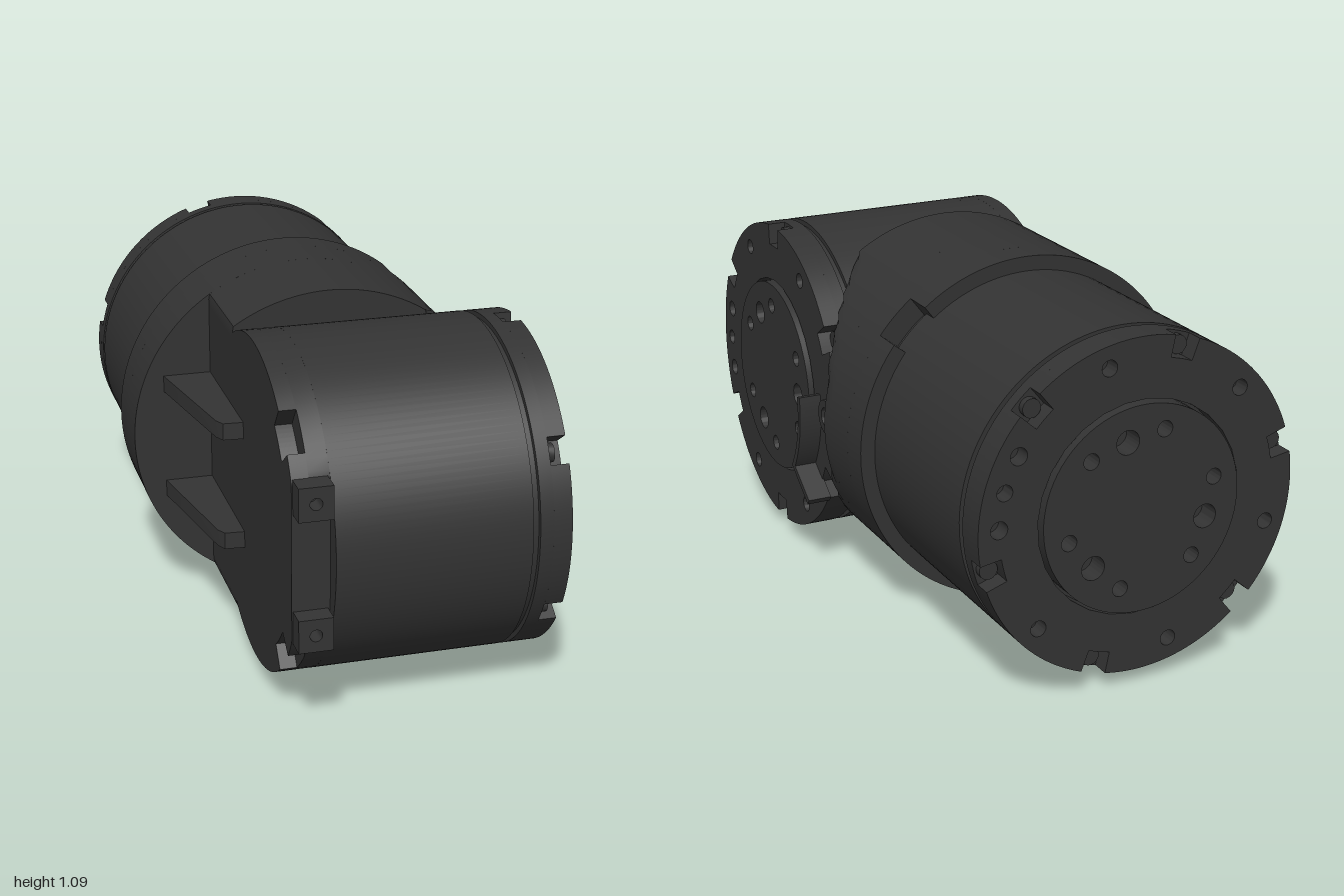
import * as THREE from 'three';
import { toCreasedNormals } from 'three/addons/utils/BufferGeometryUtils.js';

const material = new THREE.MeshStandardMaterial({ color: 0x333333 });
const rad = THREE.MathUtils.degToRad;
const CY = 0.55; // height of both drum axes

function part(name, geometry, parent) {
  const mesh = new THREE.Mesh(toCreasedNormals(geometry, 0.6), material);
  mesh.name = name;
  parent.add(mesh);
  return mesh;
}

// Extrude a shape from z0 to z1
function slab(shape, z0, z1, curveSegments = 12) {
  return new THREE.ExtrudeGeometry(shape, { depth: z1 - z0, bevelEnabled: false, curveSegments })
    .translate(0, 0, z0);
}

// Disc outline with rim notches at ascending angles in degrees
function disc(r, notches = [], half = 0.08, depth = 0.065) {
  const s = new THREE.Shape();
  if (!notches.length) {
    s.absarc(0, 0, r, 0, Math.PI * 2, false);
    return s;
  }
  notches.forEach((n, i) => {
    const a = rad(n);
    const next = i + 1 < notches.length ? rad(notches[i + 1]) : rad(notches[0]) + Math.PI * 2;
    s.absarc(0, 0, r - depth, a - half, a + half, false);
    s.absarc(0, 0, r, a + half, next - half, false);
  });
  s.closePath();
  return s;
}

function hole(shape, x, y, r) {
  const p = new THREE.Path();
  p.absarc(x, y, r, 0, Math.PI * 2, true);
  shape.holes.push(p);
}

function polarHoles(shape, angles, dist, r) {
  for (const a of angles) hole(shape, dist * Math.cos(rad(a)), dist * Math.sin(rad(a)), r);
}

const sixth = (start) => [0, 1, 2, 3, 4, 5].map((i) => start + i * 60);

// Motor drum along z, its output face at z = 0 looking to +z
function drum(name, bodyEnd) {
  const g = new THREE.Group();
  g.name = name;
  part('drumBody', slab(disc(0.5), bodyEnd, -0.13, 72), g);
  part('groove', slab(disc(0.485), -0.13, -0.11, 72), g);
  part('flangeBase', slab(disc(0.5), -0.11, -0.07, 72), g);

  // Notched ring with bolt holes
  const ring = disc(0.5, sixth(30));
  hole(ring, 0, 0, 0.32);
  polarHoles(ring, sixth(0), 0.437, 0.024);
  polarHoles(ring, [166, 194], 0.437, 0.026);
  part('flangeRing', slab(ring, -0.07, -0.015, 14), g);

  // Screw heads sunk into the notches
  for (const a of sixth(30)) {
    const screw = new THREE.CylinderGeometry(0.028, 0.028, 0.02, 16).rotateX(Math.PI / 2)
      .translate(0.465 * Math.cos(rad(a)), 0.465 * Math.sin(rad(a)), -0.06);
    part('notchScrew', screw, g);
  }

  // Output disc
  const out = disc(0.31);
  polarHoles(out, sixth(30), 0.237, 0.024);
  polarHoles(out, [0, 120, 240], 0.213, 0.036);
  part('outputDisc', slab(out, -0.07, 0, 40), g);
  return g;
}

// Rear layer of the front drum, flattened on the side that carries the brackets
function flattened(shape) {
  const pts = shape.getPoints(40).map((p) => new THREE.Vector2(Math.max(p.x, -0.44), p.y));
  return new THREE.Shape(pts);
}

export function createModel() {
  const model = new THREE.Group();
  model.name = 'twoAxisActuator';

  // Front drum, output towards +x
  const front = drum('frontDrum', -0.70);
  front.rotation.y = Math.PI / 2;
  front.position.set(0.5, CY, 0.5);
  model.add(front);
  part('rearLayer', slab(flattened(disc(0.5)), -0.76, -0.70), front);
  part('rearNotchedLayer', slab(flattened(disc(0.5, [135, 225], 0.13, 0.075)), -0.81, -0.76), front);

  // Curved guard wall on the output face
  const a0 = rad(-35.5), a1 = rad(7.5);
  const guard = new THREE.Shape();
  guard.absarc(0, 0, 0.35, a1, a0, true);
  guard.lineTo(0.505 * Math.cos(a0), 0.505 * Math.sin(a0));
  guard.lineTo(0.505 * Math.cos(a0 + 0.04), 0.505 * Math.sin(a0 + 0.04));
  guard.absarc(0, 0, 0.37, a0 + 0.05, a1, false);
  part('guardWall', slab(guard, -0.02, 0.055), front);

  // Round socket behind the guard
  const socket = disc(0.055);
  hole(socket, 0, 0, 0.03);
  part('cableSocket', slab(socket, -0.02, 0.0, 20).translate(0.44, 0, 0), front);

  // Rear drum, output towards -z
  const rear = drum('rearDrum', -0.75);
  rear.rotation.set(0, Math.PI, 0);
  rear.rotateZ(rad(-16));
  rear.position.set(-0.01, CY, -1);
  model.add(rear);

  // Collar joining the drums, with a pocket in its rear edge
  const collar = new THREE.Group();
  collar.name = 'collar';
  collar.position.set(-0.01, CY, 0);
  model.add(collar);
  part('collarRear', slab(disc(0.545, [45], 0.13, 0.07), -0.3, -0.2, 72), collar);
  part('collarBand', slab(disc(0.545), -0.2, -0.06, 72), collar);

  // Collar front: trimmed flat on one side and sloped on the other
  const neck = new THREE.CylinderGeometry(0.545, 0.545, 0.32, 120, 8)
    .rotateX(Math.PI / 2).translate(0, 0, 0.10);
  const p = neck.attributes.position;
  for (let i = 0; i < p.count; i++) {
    const t = Math.max(0, (p.getZ(i) + 0.02) / 0.28);
    p.setX(i, THREE.MathUtils.clamp(p.getX(i), -0.3, 0.545 - 0.245 * t));
  }
  part('collarNeck', neck, collar);

  // Pair of stiffening fins and pair of front brackets
  const fin = new THREE.Shape([[-0.3, -0.07], [-0.46, -0.07], [-0.385, 0.35], [-0.37, 0.38], [-0.3, 0.385]]
    .map(([x, z]) => new THREE.Vector2(x, z)));
  const block = new THREE.Shape([[-0.05, -0.05], [0.05, -0.05], [0.05, 0.05], [-0.05, 0.05]]
    .map(([x, y]) => new THREE.Vector2(x, y)));
  hole(block, 0, 0, 0.018);
  for (const side of [1, -1]) {
    const finMesh = part('fin', slab(fin, -0.026, 0.026).rotateX(Math.PI / 2), model);
    finMesh.position.y = CY + side * 0.176;
    const bracket = part('frontBracket', slab(block, 0.86, 1), model);
    bracket.position.set(-0.256, CY + side * 0.197, 0);
  }
  return model;
}
